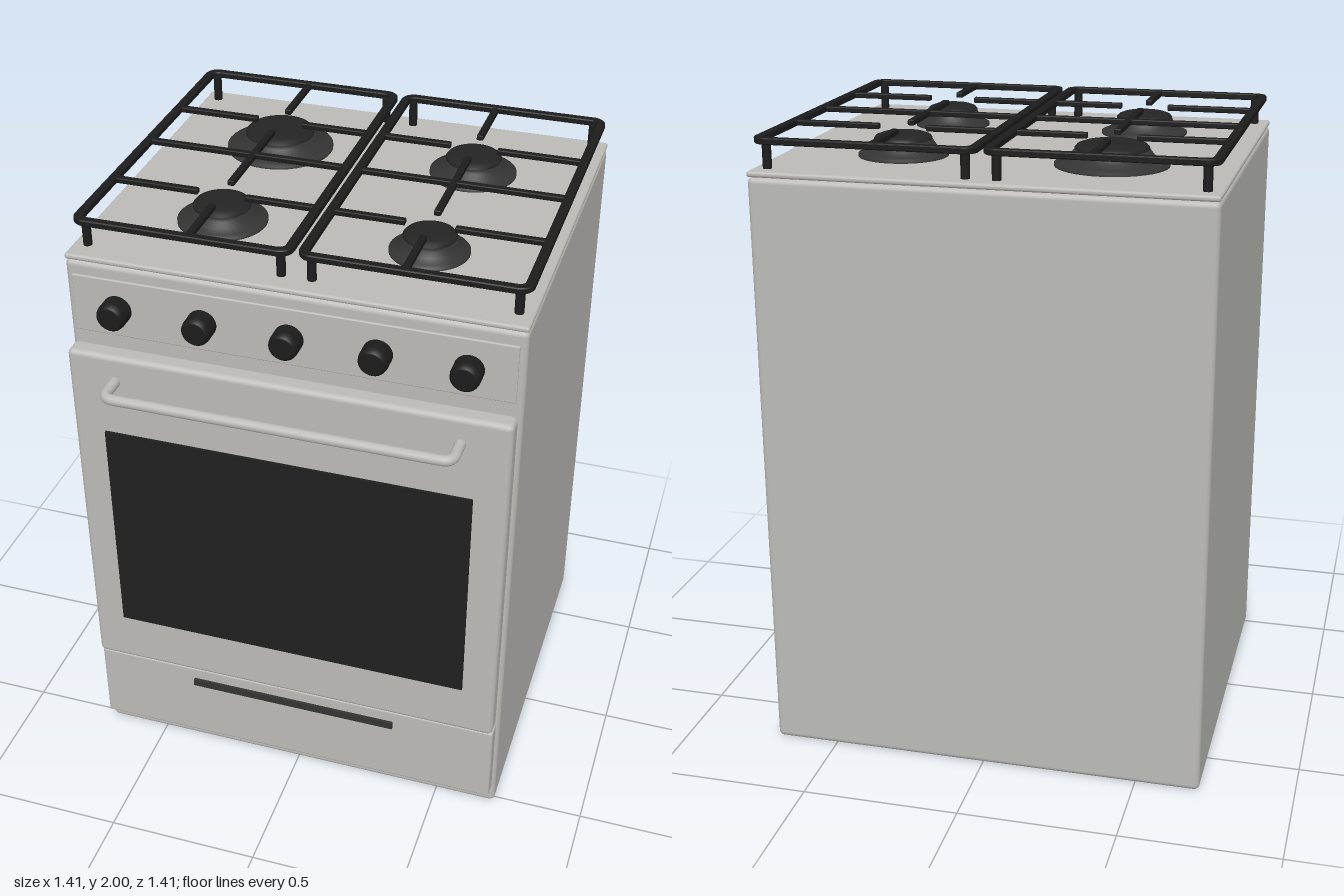
import * as THREE from 'three';
import { RoundedBoxGeometry } from 'three/addons/geometries/RoundedBoxGeometry.js';

const mat = (name, color) => Object.assign(new THREE.MeshStandardMaterial({ color }), { name });

export function createModel() {
  const enamel = mat('grey enamel', 0xbbbab6);
  const glass = mat('dark glass', 0x202020);
  const iron = mat('black cast iron', 0x1c1c1c);
  const burnerGrey = mat('dark burner metal', 0x343434);
  const capBlack = mat('burner cap black', 0x242424);

  const stove = new THREE.Group();
  stove.name = 'stove';

  const add = (parent, name, geo, material, x = 0, y = 0, z = 0) => {
    const m = new THREE.Mesh(geo, material);
    m.name = name;
    m.position.set(x, y, z);
    parent.add(m);
    return m;
  };
  // Box given by its limits on each axis, with optional rounded edges
  const block = (parent, name, material, [x0, x1], [y0, y1], [z0, z1], r = 0) => {
    const s = [x1 - x0, y1 - y0, z1 - z0];
    const geo = r ? new RoundedBoxGeometry(...s, 3, r) : new THREE.BoxGeometry(...s);
    return add(parent, name, geo, material, (x0 + x1) / 2, (y0 + y1) / 2, (z0 + z1) / 2);
  };

  // Cabinet and front panels
  block(stove, 'body', enamel, [-0.705, 0.705], [0, 1.886], [-0.705, 0.525], 0.018);
  block(stove, 'hob', enamel, [-0.705, 0.705], [1.886, 1.904], [-0.705, 0.525], 0.008);
  block(stove, 'controlPanel', enamel, [-0.683, 0.683], [1.65, 1.842], [0.5, 0.531], 0.004);
  block(stove, 'ovenDoor', enamel, [-0.694, 0.694], [0.38, 1.612], [0.525, 0.595], 0.018);
  block(stove, 'ovenWindow', glass, [-0.588, 0.588], [0.566, 1.333], [0.595, 0.604]);
  block(stove, 'drawer', enamel, [-0.694, 0.694], [0.076, 0.37], [0.52, 0.576], 0.008);
  block(stove, 'drawerHandle', burnerGrey, [-0.354, 0.354], [0.301, 0.327], [0.57, 0.586]);

  // Oven door handle: straight bar with bent ends
  const hx = 0.541, hz = 0.688, bend = 0.035;
  const v = (x, z) => new THREE.Vector3(x, 1.524, z);
  const path = new THREE.CurvePath();
  path.add(new THREE.LineCurve3(v(-hx, 0.58), v(-hx, hz - bend)));
  path.add(new THREE.QuadraticBezierCurve3(v(-hx, hz - bend), v(-hx, hz), v(-hx + bend, hz)));
  path.add(new THREE.LineCurve3(v(-hx + bend, hz), v(hx - bend, hz)));
  path.add(new THREE.QuadraticBezierCurve3(v(hx - bend, hz), v(hx, hz), v(hx, hz - bend)));
  path.add(new THREE.LineCurve3(v(hx, hz - bend), v(hx, 0.58)));
  add(stove, 'doorHandle', new THREE.TubeGeometry(path, 160, 0.017, 14), enamel);

  // Control knobs
  const knobProfile = [[0.046, 0], [0.046, 0.045], [0.044, 0.056], [0.037, 0.064], [0.034, 0.066], [0, 0.066]];
  const knobGeo = new THREE.LatheGeometry(knobProfile.map(p => new THREE.Vector2(...p)), 28);
  knobGeo.rotateX(Math.PI / 2);
  for (let i = -2; i <= 2; i++) add(stove, 'knob', knobGeo, iron, i * 0.271, 1.744, 0.53);

  // Burners: flared base with a rounded cap
  const burner = (x, z, baseR, capR) => {
    const g = new THREE.Group();
    g.name = 'burner';
    g.position.set(x, 1.904, z);
    const lathe = pts => new THREE.LatheGeometry(pts.map(p => new THREE.Vector2(...p)), 40);
    const d = baseR - capR;
    add(g, 'burnerBase', lathe([
      [baseR, 0], [baseR, 0.008], [baseR - d * 0.3, 0.014], [capR + d * 0.3, 0.026],
      [capR + d * 0.1, 0.042], [capR, 0.05], [0, 0.05],
    ]), burnerGrey);
    add(g, 'burnerCap', lathe([
      [capR, 0.048], [capR, 0.055], [capR - 0.006, 0.062], [capR - 0.022, 0.068], [0, 0.069],
    ]), capBlack);
    stove.add(g);
  };
  const backZ = -0.355, frontZ = 0.185, midX = 0.328;
  burner(-midX, backZ, 0.175, 0.113);
  burner(midX, backZ, 0.14, 0.09);
  burner(-midX, frontZ, 0.14, 0.09);
  burner(midX, frontZ, 0.123, 0.082);

  // Rounded rectangle outline, used for the grate frame
  const roundRect = (Type, w, d, r) => {
    const s = new Type();
    const a = w / 2, b = d / 2;
    s.moveTo(-a + r, -b).lineTo(a - r, -b).absarc(a - r, -b + r, r, -Math.PI / 2, 0);
    s.lineTo(a, b - r).absarc(a - r, b - r, r, 0, Math.PI / 2);
    s.lineTo(-a + r, b).absarc(-a + r, b - r, r, Math.PI / 2, Math.PI);
    s.lineTo(-a, -b + r).absarc(-a + r, -b + r, r, Math.PI, Math.PI * 1.5);
    return s;
  };

  // Pan grates: frame, four legs, a middle bar and fingers that stop short of each burner
  const cx = 0.353, cz = -0.098, w = 0.69, d = 1.162, bar = 0.028;
  const frameShape = roundRect(THREE.Shape, w - 0.006, d - 0.006, 0.04);
  frameShape.holes.push(roundRect(THREE.Path, w - 2 * bar + 0.006, d - 2 * bar + 0.006, 0.022));
  const frameGeo = new THREE.ExtrudeGeometry(frameShape, {
    depth: 0.014, bevelThickness: 0.003, bevelSize: 0.003, bevelSegments: 1, curveSegments: 6,
  });
  frameGeo.rotateX(-Math.PI / 2);
  const legGeo = new THREE.CylinderGeometry(0.014, 0.014, 0.084, 14);
  const y = [1.981, 1.999], t = 0.011, gap = 0.076;
  for (const side of [-1, 1]) {
    const g = new THREE.Group();
    g.name = side > 0 ? 'leftGrate' : 'rightGrate';
    add(g, 'grateFrame', frameGeo, iron, side * cx, 1.983, cz);
    for (const sx of [-1, 1]) for (const sz of [-1, 1]) {
      add(g, 'grateLeg', legGeo, iron, side * cx + sx * 0.306, 1.944, cz + sz * 0.548);
    }
    const x0 = side * cx - w / 2 + 0.015, x1 = side * cx + w / 2 - 0.015;
    const z0 = cz - d / 2 + 0.015, z1 = cz + d / 2 - 0.015, bx = side * midX;
    block(g, 'grateMiddleBar', iron, [x0, x1], y, [cz - t, cz + t], 0.004);
    for (const z of [backZ, frontZ]) {
      block(g, 'grateFinger', iron, [x0, bx - gap], y, [z - t, z + t], 0.004);
      block(g, 'grateFinger', iron, [bx + gap, x1], y, [z - t, z + t], 0.004);
    }
    for (const [a, b] of [[z0, backZ - gap], [backZ + gap, frontZ - gap], [frontZ + gap, z1]]) {
      block(g, 'grateFinger', iron, [bx - t, bx + t], y, [a, b], 0.004);
    }
    stove.add(g);
  }
  return stove;
}
